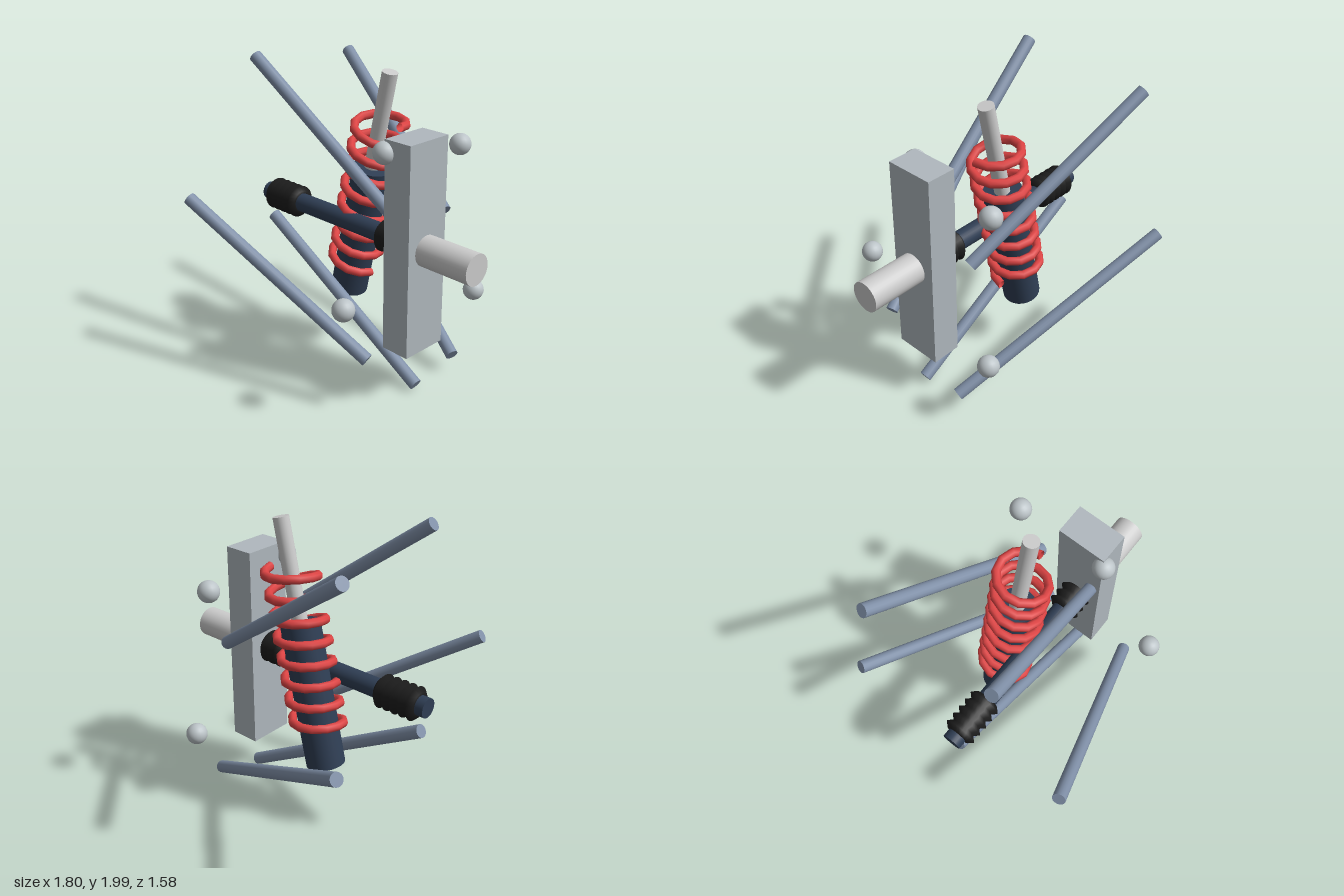
import * as THREE from 'three';

const mat = (color, extra = {}) => new THREE.MeshStandardMaterial({ color, ...extra });
const V = (x, y, z) => new THREE.Vector3(x, y, z);

export function createModel() {
  const group = new THREE.Group();
  const armMat = mat(0x8090a8), darkMat = mat(0x2f3e54), bootMat = mat(0x1c1c1c);
  const steelMat = mat(0xcccccc), uprightMat = mat(0xb0b8be), ballMat = mat(0xbcc4c8);
  const springMat = mat(0xdd4444, { side: THREE.DoubleSide });

  function add(name, geometry, material, position) {
    const mesh = new THREE.Mesh(geometry, material);
    mesh.name = name;
    if (position) mesh.position.copy(position);
    group.add(mesh);
    return mesh;
  }

  // Cylinder running from point a to point b
  function rod(name, a, b, radius, material, sides = 16) {
    const dir = b.clone().sub(a);
    const mesh = add(name, new THREE.CylinderGeometry(radius, radius, dir.length(), sides),
      material, a.clone().add(b).multiplyScalar(0.5));
    mesh.quaternion.setFromUnitVectors(V(0, 1, 0), dir.normalize());
    return mesh;
  }

  // Five links: inner end, outer end, and the ball joint beside each
  const links = [
    ['upperFrontLink', V(-0.71, 1.97, 0.245), V(0.35, 1.17, 0.12), V(0.335, 1.57, 0.185)],
    ['upperRearLink', V(-0.757, 1.885, -0.59), V(0.385, 1.10, -0.30), V(0.37, 1.49, -0.445)],
    ['lowerRearLink', V(-0.875, 0.89, -0.75), V(0.495, 0.13, -0.295), V(0.465, 0.51, -0.525)],
    ['lowerMiddleLink', V(-0.86, 0.815, 0.03), V(0.475, 0.045, 0.03), V(0.45, 0.43, 0.03)],
    ['lowerFrontLink', V(-0.795, 1.145, 0.747), V(0.415, 0.358, 0.40), V(0.40, 0.75, 0.573)],
  ];
  for (const [name, a, b, joint] of links) {
    rod(name, a, b, 0.041, armMat);
    add(name + 'BallJoint', new THREE.SphereGeometry(0.068, 20, 14), ballMat, joint);
  }

  // Upright and wheel hub
  add('upright', new THREE.BoxGeometry(0.195, 1.33, 0.315), uprightMat, V(0.432, 0.985, 0.024));
  rod('wheelHub', V(0.45, 0.983, 0.027), V(0.9, 0.983, 0.027), 0.097, steelMat, 32);

  // Drive shaft with a pleated boot at each end
  const shaftY = 0.983, shaftZ = 0.024;
  rod('driveShaft', V(-0.9, shaftY, shaftZ), V(0.4, shaftY, shaftZ), 0.061, darkMat, 24);
  const pleats = 5, bootLength = 0.28;
  const profile = [new THREE.Vector2(0.055, 0)];
  for (let i = 0; i <= pleats * 2; i++) {
    profile.push(new THREE.Vector2(i % 2 ? 0.106 : 0.077, (i / (pleats * 2)) * bootLength));
  }
  profile.push(new THREE.Vector2(0.055, bootLength));
  for (const [name, x] of [['innerBoot', -0.845], ['outerBoot', 0.175]]) {
    const boot = add(name, new THREE.LatheGeometry(profile, 24), bootMat, V(x, shaftY, shaftZ));
    boot.rotation.z = -Math.PI / 2;
  }

  // Tilted damper: body and piston rod share one axis
  const foot = V(-0.28, 0.42, -0.128), head = V(0.078, 1.936, -0.128);
  const onAxis = (y) => foot.clone().lerp(head, (y - foot.y) / (head.y - foot.y));
  rod('damperBody', foot, onAxis(1.315), 0.122, darkMat, 24);
  rod('damperRod', onAxis(1.2), head, 0.049, steelMat, 20);

  // Coil spring wound around the damper axis
  const axis = head.clone().sub(foot).normalize();
  const side = V(axis.y, -axis.x, 0);
  const turns = 8, perTurn = 12, coilRadius = 0.157;
  class Helix extends THREE.Curve {
    getPoint(t, target = new THREE.Vector3()) {
      const angle = t * turns * Math.PI * 2;
      return target.copy(onAxis(0.621 + 1.03 * t))
        .addScaledVector(side, coilRadius * Math.cos(angle))
        .add(V(0, 0, coilRadius * Math.sin(angle)));
    }
  }
  add('coilSpring', new THREE.TubeGeometry(new Helix(), turns * perTurn, 0.028, 8), springMat);

  return group;
}
